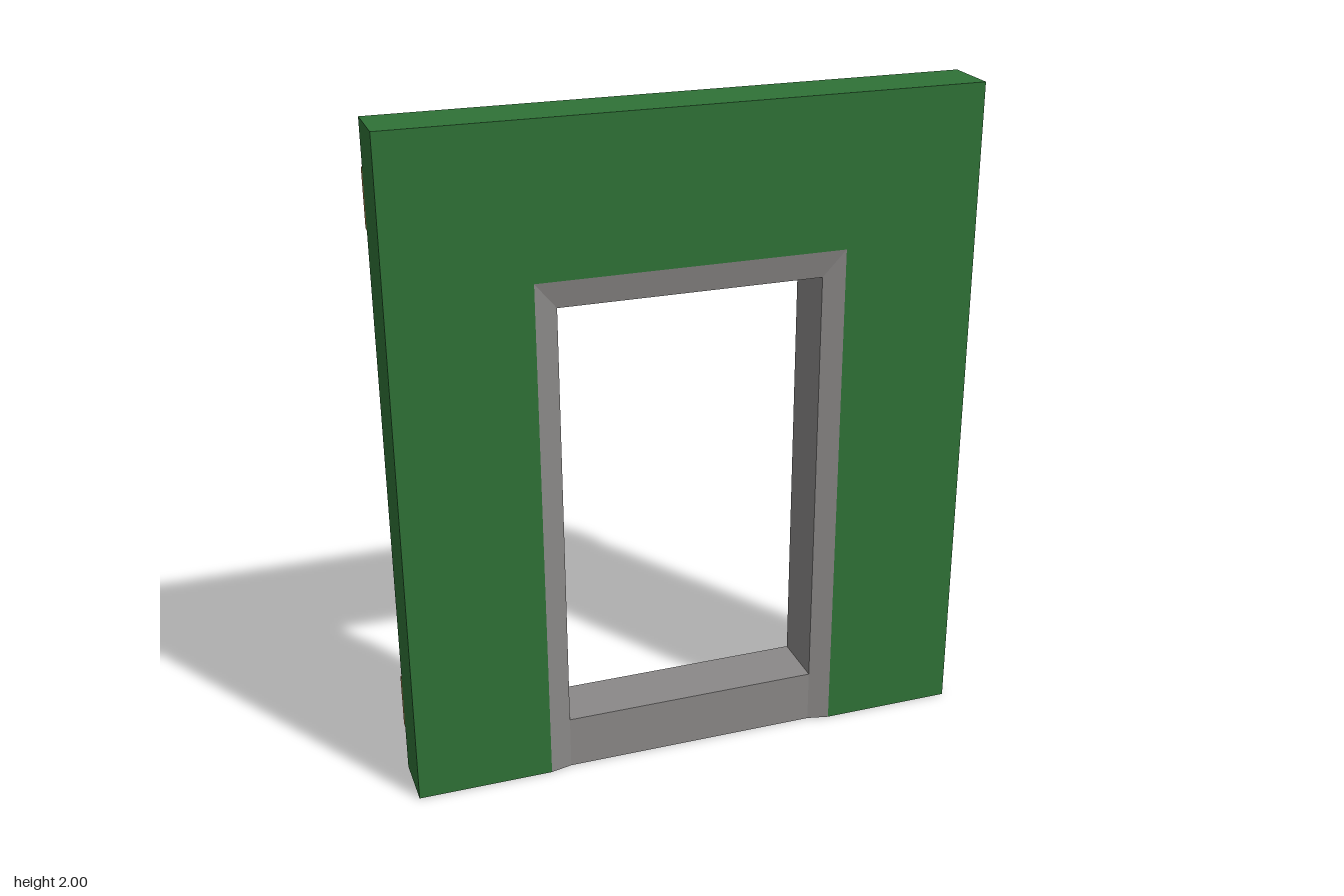
import * as THREE from 'three';

const material = (name, color) => {
  const m = new THREE.MeshStandardMaterial({ color });
  m.name = name;
  return m;
};

export function createModel() {
  const group = new THREE.Group();
  const green = material('green paint', 0x2f7237);
  const grey = material('grey stone', 0x8b8988);
  const tan = material('tan backing', 0xc8b488);
  const brown = material('brown wood', 0xa07b48);

  const W = 0.86, H = 2, front = 0.105, back = -0.067;
  const outerX = 0.455, outerY = 1.555, innerX = 0.39, innerY = 1.475;
  const lip = 0.105, recess = 0.09;

  const add = (name, geometry, mat) => {
    const mesh = new THREE.Mesh(geometry, mat);
    mesh.name = name;
    group.add(mesh);
    return mesh;
  };
  const box = (name, mat, x0, x1, y0, y1, z0, z1) =>
    add(name, new THREE.BoxGeometry(x1 - x0, y1 - y0, z1 - z0), mat)
      .position.set((x0 + x1) / 2, (y0 + y1) / 2, (z0 + z1) / 2);

  // Wall with a doorway notch, and a thin backing sheet with green edges
  const outline = new THREE.Shape([
    [-W, 0], [-outerX, 0], [-outerX, outerY], [outerX, outerY],
    [outerX, 0], [W, 0], [W, H], [-W, H],
  ].map(([x, y]) => new THREE.Vector2(x, y)));
  const slab = (z0, z1) =>
    new THREE.ExtrudeGeometry(outline, { depth: z1 - z0, bevelEnabled: false }).translate(0, 0, z0);
  add('wall', slab(back + 0.002, front), green);
  add('backing', slab(back, back + 0.002), [tan, green]);

  // Mitred frame: a four-cornered section swept up, across and down
  const outer = [[-outerX, 0], [-outerX, outerY], [outerX, outerY], [outerX, 0]];
  const inner = [[-innerX, 0], [-innerX, innerY], [innerX, innerY], [innerX, 0]];
  const sections = outer.map((o, i) => [
    [...o, lip], [...inner[i], recess], [...inner[i], -recess], [...o, -lip],
  ]);
  const positions = [];
  const quad = (a, b, c, d) => positions.push(...a, ...b, ...c, ...a, ...c, ...d);
  for (let i = 0; i < 3; i++) {
    const s = sections[i], t = sections[i + 1];
    for (let k = 0; k < 4; k++) {
      const n = (k + 1) % 4;
      quad(s[k], s[n], t[n], t[k]);
    }
  }
  // Feet of the two jambs
  quad(...[...sections[0]].reverse());
  quad(...sections[3]);
  const frame = new THREE.BufferGeometry();
  frame.setAttribute('position', new THREE.Float32BufferAttribute(positions, 3));
  frame.computeVertexNormals();
  add('openingFrame', frame, grey);
  box('sill', grey, -innerX, innerX, 0, 0.163, -recess, recess);

  // Battens across the back, the lower one broken by the frame
  const battenZ = [back - 0.02, back];
  box('upperBatten', brown, -W, W, 1.695, 1.863, ...battenZ);
  box('lowerBattenLeft', brown, outerX, W, 0.142, 0.31, ...battenZ);
  box('lowerBattenRight', brown, -W, -outerX, 0.142, 0.31, ...battenZ);

  return group;
}
